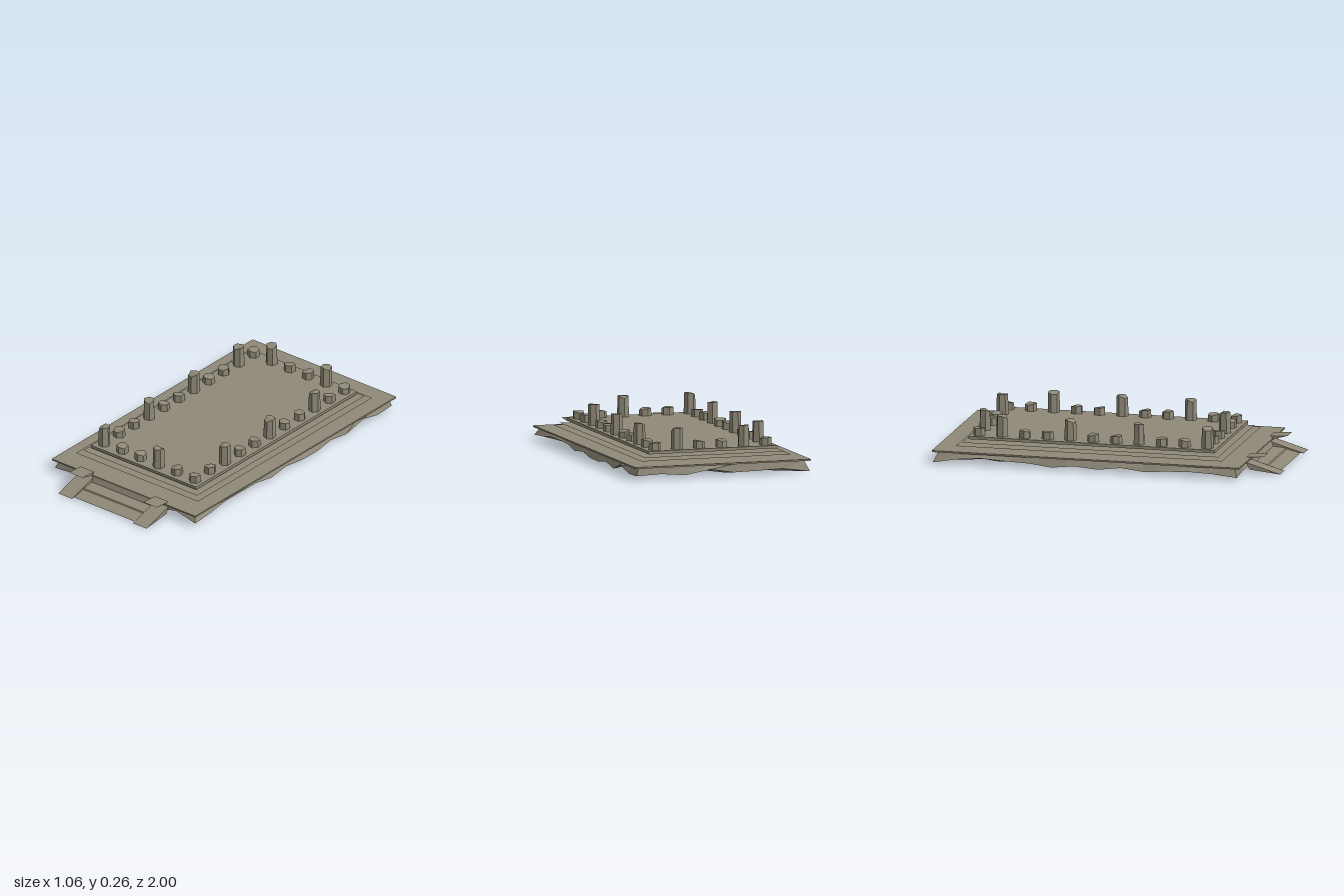
import * as THREE from 'three';

const stone = new THREE.MeshStandardMaterial({ color: 0x8f8978, side: THREE.DoubleSide, flatShading: true });
stone.name = 'weathered stone';

const CZ = -0.095; // centre of the terrace in z

// Small seeded random source
let seed = 11;
const rnd = () => (seed = (seed * 16807) % 2147483647) / 2147483647;

function part(group, name, geo, x = 0, y = 0, z = 0) {
  const m = new THREE.Mesh(geo, stone);
  m.name = name;
  m.position.set(x, y, z);
  group.add(m);
  return m;
}

// Box given by its half width, half depth and vertical range
function slab(group, name, hx, hz, y0, y1) {
  return part(group, name, new THREE.BoxGeometry(hx * 2, y1 - y0, hz * 2), 0, (y0 + y1) / 2, CZ);
}

// Sheet or prism: a (z, y) profile swept between two x positions
function sweep(profile, x0, x1, closed) {
  const pos = [], idx = [], n = profile.length;
  for (const x of [x0, x1]) for (const [z, y] of profile) pos.push(x, y, z);
  for (let i = 0; i < (closed ? n : n - 1); i++) {
    const j = (i + 1) % n;
    idx.push(i, n + i, j, j, n + i, n + j);
  }
  if (closed) for (let i = 1; i < n - 1; i++) idx.push(0, i, i + 1, n, n + i + 1, n + i);
  const g = new THREE.BufferGeometry();
  g.setAttribute('position', new THREE.Float32BufferAttribute(pos, 3));
  g.setIndex(idx);
  g.computeVertexNormals();
  return g;
}

// Points around a rectangle, corners included
function outline(hx, hz, nx, nz) {
  const pts = [];
  const edge = (ax, az, bx, bz, n) => {
    for (let i = 0; i < n; i++) pts.push([ax + (bx - ax) * i / n, az + (bz - az) * i / n]);
  };
  edge(hx, hz, hx, -hz, nz);
  edge(hx, -hz, -hx, -hz, nx);
  edge(-hx, -hz, -hx, hz, nz);
  edge(-hx, hz, hx, hz, nx);
  return pts;
}

// Rough rock skirt and underside, built as jittered rings
function rockGeometry() {
  const rings = [
    { inset: 0.03, y: 0.062, jy: 0.0, j: 0 },
    { inset: 0.005, y: 0.028, jy: 0.024, j: 0.012 },
    { inset: 0.11, y: 0.008, jy: 0.008, j: 0.05 },
    { inset: 0.26, y: 0.004, jy: 0.003, j: 0.04 }
  ];
  const pos = [], idx = [];
  let n = 0;
  rings.forEach((r, k) => {
    const pts = outline(0.53 - r.inset, 0.905 - r.inset, 7, 13);
    n = pts.length;
    pts.forEach(([x, z]) => {
      const s = 1 - rnd() * r.j / 0.53;
      pos.push(x * s, Math.max(0, r.y + (rnd() * 2 - 1) * r.jy), z * s + CZ);
    });
    if (k) for (let i = 0; i < n; i++) {
      const j = (i + 1) % n, a = (k - 1) * n, b = k * n;
      idx.push(a + i, b + i, a + j, a + j, b + i, b + j);
    }
  });
  const c = pos.length / 3, last = (rings.length - 1) * n;
  pos.push(0, 0.003, CZ);
  for (let i = 0; i < n; i++) idx.push(last + i, c, last + (i + 1) % n);
  const g = new THREE.BufferGeometry();
  g.setAttribute('position', new THREE.Float32BufferAttribute(pos, 3));
  g.setIndex(idx);
  g.computeVertexNormals();
  return g;
}

// Broken column: six-sided drum with a chipped top
function column(group, x, z, tall) {
  const base = 0.137, drum = 0.043, top = tall ? 0.257 : 0.18;
  const stump = new THREE.CylinderGeometry(0.034, 0.035, drum, 6);
  const parts = new THREE.Group();
  parts.name = tall ? 'tallColumn' : 'columnStump';
  const turn = rnd() * Math.PI;
  const chip = (g, h, depth) => {
    const p = g.attributes.position, a = rnd() * 6.28;
    for (let i = 0; i < p.count; i++) {
      if (p.getY(i) < h / 2 - 1e-4) continue;
      const lean = Math.cos(Math.atan2(p.getZ(i), p.getX(i)) - a);
      if (Math.hypot(p.getX(i), p.getZ(i)) > 0.01 && lean > 0.6) p.setY(i, h / 2 - depth);
    }
    g.computeVertexNormals();
  };
  if (!tall) chip(stump, drum, 0.008);
  part(parts, 'lowerDrum', stump, 0, base + drum / 2, 0);
  if (tall) {
    const h = top - base - drum;
    const shaft = new THREE.CylinderGeometry(0.032, 0.034, h, 6);
    chip(shaft, h, 0.014);
    part(parts, 'shaft', shaft, 0, base + drum + h / 2, 0);
  }
  parts.rotation.y = turn;
  parts.position.set(x, 0, z);
  group.add(parts);
}

export function createModel() {
  seed = 11;
  const root = new THREE.Group();
  root.name = 'ruinedTemple';

  // Rock base and paving
  part(root, 'rockBase', rockGeometry());
  slab(root, 'paving', 0.53, 0.905, 0.066, 0.075);

  // Two thin step treads, then the floor they lead to
  [[0.45, 0.785, 0.09], [0.42, 0.755, 0.105]].forEach(([hx, hz, y]) => {
    const g = new THREE.PlaneGeometry(hx * 2, hz * 2).rotateX(-Math.PI / 2);
    part(root, 'stepTread', g, 0, y, CZ);
  });
  slab(root, 'floor', 0.388, 0.725, 0.12, 0.137);

  // Colonnade: every third column along the ring still stands tall
  const columns = new THREE.Group();
  columns.name = 'colonnade';
  const X = 0.335, Z0 = -0.77, Z1 = 0.575, dz = (Z1 - Z0) / 10, dx = X * 2 / 5;
  for (let i = 0; i <= 10; i++) {
    column(columns, X, Z1 - i * dz, i % 3 === 2);
    column(columns, -X, Z1 - i * dz, i % 3 === 0 && i !== 9 || i === 9);
  }
  for (let i = 1; i <= 4; i++) {
    column(columns, -X + i * dx, Z1, i === 3);
    column(columns, -X + i * dx, Z0, i === 1 || i === 4);
  }
  root.add(columns);

  // Worn front stair between two broken cheek walls
  const stair = [[0.98, 0.004], [0.9, 0.022], [0.895, 0.028], [0.82, 0.035], [0.805, 0.069]];
  part(root, 'stair', sweep(stair, -0.225, 0.225, false));
  for (const s of [1, -1]) {
    const foot = [[1.0, 0.003], [0.9, 0.032], [0.8, 0.062], [0.82, 0.022]];
    part(root, 'cheekWallFoot', sweep(foot, s * 0.225, s * 0.325, true));
    const cap = sweep([[0.905, 0.1], [0.8, 0.094], [0.82, 0.082]], s * 0.225, s * 0.325, true);
    const p = cap.attributes.position;
    // lower lip tapers up towards the outside
    for (let i = 0; i < p.count; i++) {
      if (p.getY(i) < 0.09) p.setY(i, Math.abs(p.getX(i)) > 0.3 ? 0.092 : 0.076);
    }
    cap.computeVertexNormals();
    part(root, 'cheekWallCap', cap);
  }
  return root;
}
